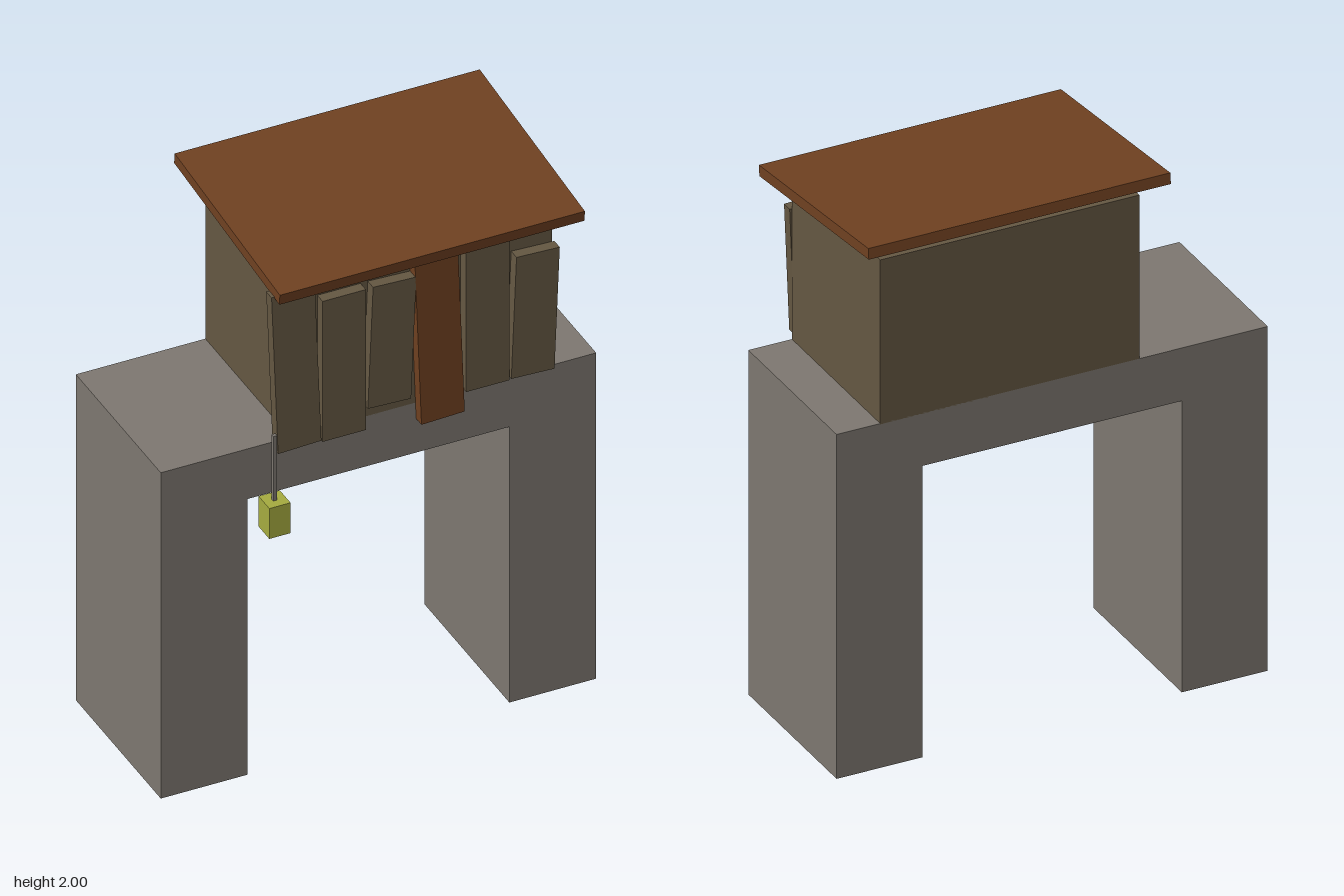
import * as THREE from 'three';

function material(name, color) {
  const m = new THREE.MeshStandardMaterial({ color });
  m.name = name;
  return m;
}

export function createModel() {
  const model = new THREE.Group();
  model.name = 'gatehouse';

  const stone = material('grey stone', 0x7e7871);
  const wood = material('weathered wood', 0x655843);
  const redWood = material('red brown wood', 0x704121);
  const glow = material('lantern yellow', 0xa6ac40);

  const add = (name, geometry, mat, x = 0, y = 0, z = 0) => {
    const mesh = new THREE.Mesh(geometry, mat);
    mesh.name = name;
    mesh.position.set(x, y, z);
    model.add(mesh);
    return mesh;
  };
  const box = (name, size, mat, pos) => add(name, new THREE.BoxGeometry(...size), mat, ...pos);

  // Square stone arch: two legs and a lintel in one outline
  const outline = [
    [-0.79, 0], [-0.475, 0], [-0.475, 1.09], [0.475, 1.09],
    [0.475, 0], [0.79, 0], [0.79, 1.288], [-0.79, 1.288],
  ].map(([x, y]) => new THREE.Vector2(x, y));
  const depth = 0.632;
  const archGeometry = new THREE.ExtrudeGeometry(new THREE.Shape(outline), { depth, bevelEnabled: false });
  add('stoneArch', archGeometry, stone, 0, 0, -depth / 2);

  // Hut standing on the arch
  box('hutBody', [0.95, 0.615, depth], wood, [0.155, 1.5925, 0]);

  // Sloping lean-to roof, lower at the front
  const roof = box('roof', [1.107, 0.04, 0.787], redWood, [0.157, 1.94, 0.002]);
  roof.rotation.x = 0.1;

  // Crooked front boards: centre y, height, tilt, material
  const boards = [
    [1.58, 0.625, 0.038, wood],
    [1.542, 0.555, 0, wood],
    [1.58, 0.475, -0.04, wood],
    [1.542, 0.63, 0.037, redWood],
    [1.58, 0.55, 0, wood],
    [1.542, 0.475, -0.04, wood],
  ];
  boards.forEach(([y, height, tilt, mat], i) => {
    const board = box('frontBoard' + (i + 1), [0.157, height, 0.04], mat, [-0.317 + i * 0.1735, y, 0.336]);
    board.rotation.z = tilt;
  });

  // Lantern hanging from a thin rod at the front corner
  box('lanternRod', [0.014, 0.26, 0.014], stone, [-0.398, 1.215, 0.357]);
  box('lantern', [0.077, 0.12, 0.08], glow, [-0.397, 1.03, 0.357]);

  return model;
}
